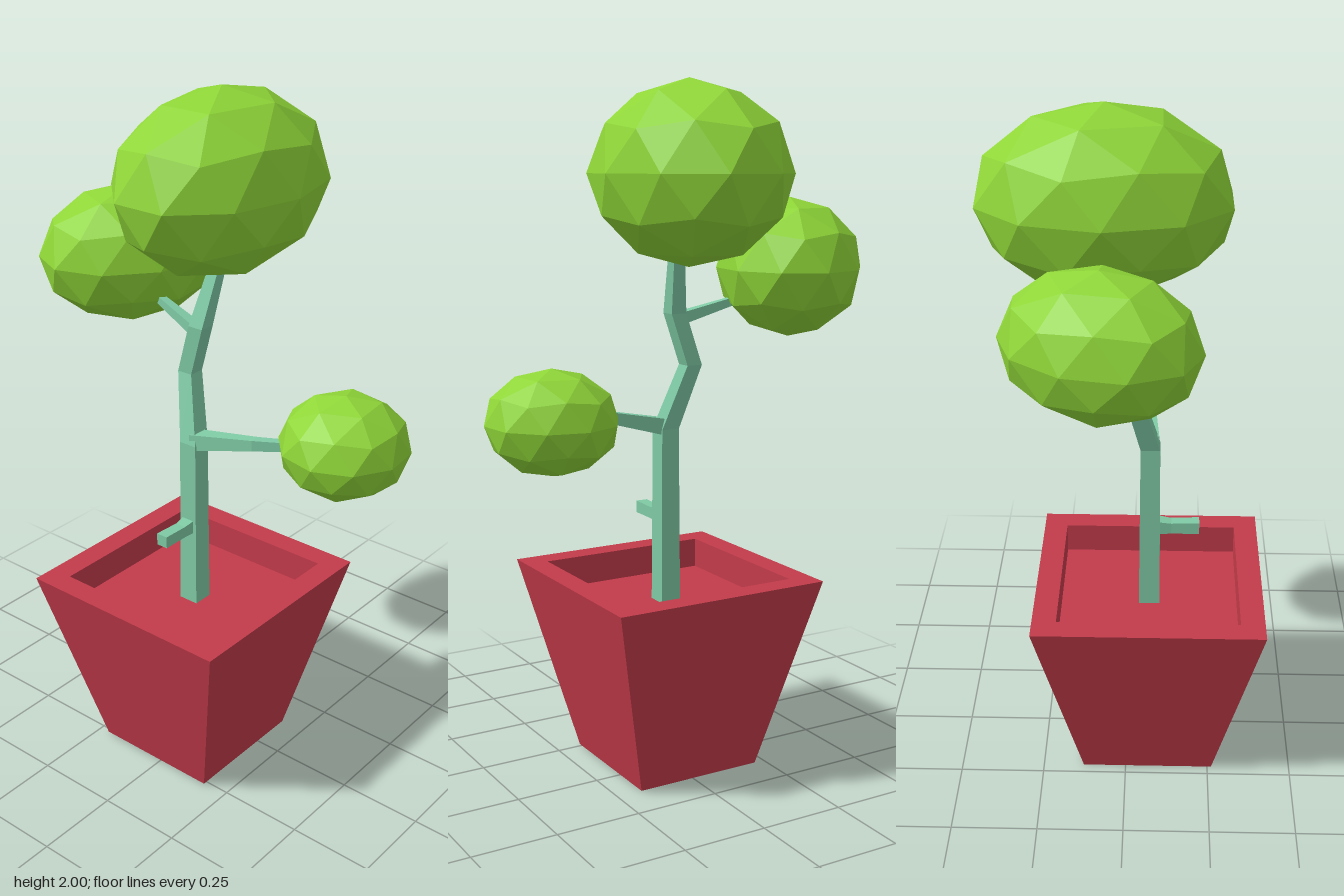
import * as THREE from 'three';

const material = (color) => new THREE.MeshStandardMaterial({ color, flatShading: true });
const X = new THREE.Vector3(1, 0, 0);
const Y = new THREE.Vector3(0, 1, 0);
const Z = new THREE.Vector3(0, 0, 1);

// Square-section loft through [x, y, z, halfWidth] stations; u x v points along the path.
function squareLoft(stations, u, v) {
  const positions = [];
  const index = [];
  for (const [x, y, z, h] of stations) {
    for (const [a, b] of [[-1, -1], [1, -1], [1, 1], [-1, 1]]) {
      const p = new THREE.Vector3(x, y, z).addScaledVector(u, a * h).addScaledVector(v, b * h);
      positions.push(p.x, p.y, p.z);
    }
  }
  const last = (stations.length - 1) * 4;
  for (let i = 0; i < last; i += 4) {
    for (let j = 0; j < 4; j++) {
      const k = (j + 1) % 4;
      index.push(i + j, i + k, i + 4 + k, i + j, i + 4 + k, i + 4 + j);
    }
  }
  index.push(0, 2, 1, 0, 3, 2, last, last + 1, last + 2, last, last + 2, last + 3);
  const indexed = new THREE.BufferGeometry();
  indexed.setAttribute('position', new THREE.Float32BufferAttribute(positions, 3));
  indexed.setIndex(index);
  const geometry = indexed.toNonIndexed();
  geometry.computeVertexNormals();
  return geometry;
}

export function createModel() {
  const group = new THREE.Group();
  const red = material(0xc23b4a);
  const bark = material(0x7fcaa5);
  const leaf = material(0x8fd638);

  const add = (name, geometry, mat) => {
    const mesh = new THREE.Mesh(geometry, mat);
    mesh.name = name;
    group.add(mesh);
    return mesh;
  };

  // Tapered pot: outer wall, flat rim, inner wall and sunken soil floor
  const cx = -0.067, cz = -0.023;
  const potProfile = [[0, 0.195], [0.58, 0.333], [0.58, 0.263], [0.49, 0.263]];
  add('pot', squareLoft(potProfile.map(([y, h]) => [cx, y, cz, h]), Z, X), red);

  // Crooked trunk
  add('trunk', squareLoft([
    [cx, 0.485, cz, 0.031],
    [cx, 1.01, cz, 0.028],
    [-0.018, 1.2, -0.077, 0.024],
    [-0.027, 1.35, -0.03, 0.024],
    [0.015, 1.5, -0.01, 0.018],
    [0.03, 1.58, -0.01, 0.016],
  ], Z, X), bark);

  // Side branches
  add('frontBranch', squareLoft([
    [cx, 1.015, -0.02, 0.025],
    [-0.058, 1.065, 0.19, 0.016],
    [0, 1.08, 0.34, 0.012],
  ], X, Y), bark);
  add('backBranch', squareLoft([
    [-0.03, 1.33, -0.03, 0.018],
    [0, 1.375, -0.19, 0.012],
    [0.03, 1.41, -0.3, 0.01],
  ], Y, X), bark);
  add('cutStub', squareLoft([
    [cx, 0.75, cz, 0.022],
    [-0.13, 0.745, cz, 0.017],
    [-0.212, 0.747, cz, 0.018],
  ], Z, Y), bark);

  // Faceted foliage balls with a vertex at each pole
  const ball = new THREE.IcosahedronGeometry(1, 1);
  ball.rotateZ(-Math.atan(2 / (1 + Math.sqrt(5))));
  const foliage = [
    ['topFoliage', [0.058, 1.743, -0.025], [0.354, 0.257, 0.261], 0],
    ['backFoliage', [0.06, 1.475, -0.362], [0.275, 0.201, 0.212], -25],
    ['frontFoliage', [0.06, 1.085, 0.405], [0.187, 0.147, 0.184], 24],
  ];
  for (const [name, position, scale, turn] of foliage) {
    const mesh = add(name, ball, leaf);
    mesh.position.set(...position);
    mesh.scale.set(...scale);
    mesh.rotation.y = THREE.MathUtils.degToRad(turn);
  }

  return group;
}
